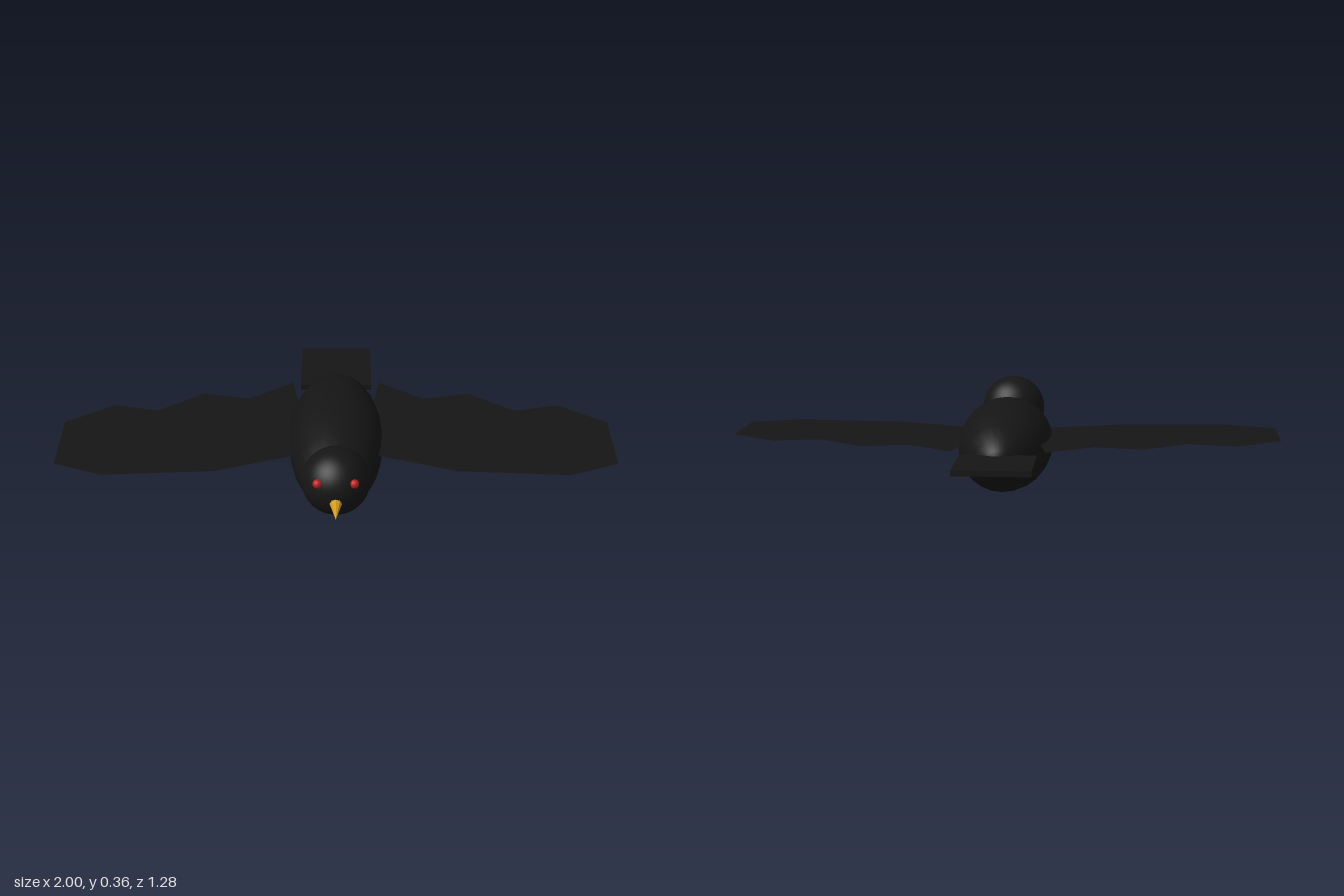
import * as THREE from 'three';

export function createModel() {
  const bird = new THREE.Group();
  bird.name = 'bird';

  const black = new THREE.MeshStandardMaterial({ color: 0x151515 });
  const wingBlack = new THREE.MeshStandardMaterial({ color: 0x151515, side: THREE.DoubleSide });
  const gold = new THREE.MeshStandardMaterial({ color: 0xd09a20, flatShading: true });
  const red = new THREE.MeshStandardMaterial({ color: 0xb81f1f });

  function add(name, geometry, material, x, y, z) {
    const mesh = new THREE.Mesh(geometry, material);
    mesh.name = name;
    mesh.position.set(x, y, z);
    bird.add(mesh);
    return mesh;
  }

  // Body: a sphere stretched along z, poles at beak and tail ends
  const bodyShape = new THREE.SphereGeometry(1, 24, 12);
  bodyShape.rotateX(Math.PI / 2).scale(0.172, 0.164, 0.41);
  add('body', bodyShape, black, 0, 0.167, 0.03);

  // Head and beak
  add('head', new THREE.SphereGeometry(0.119, 32, 24), black, 0, 0.245, 0.43);
  const beakShape = new THREE.ConeGeometry(0.031, 0.14, 8);
  beakShape.rotateX(Math.PI / 2);
  add('beak', beakShape, gold, 0, 0.222, 0.57);

  // Flat tail
  add('tail', new THREE.BoxGeometry(0.27, 0.02, 0.3), black, 0, 0.18, -0.49);

  // Wing outline in x, z: notched feathers behind, smooth leading edge
  const outline = [
    [0.08, 0.17], [0.43, 0.3], [0.825, 0.325], [1, 0.25], [1, -0.04],
    [0.83, -0.165], [0.665, -0.125], [0.5, -0.255], [0.33, -0.215], [0.165, -0.34],
  ];

  // Mirrored wings and eyes
  for (const [side, s] of [['left', 1], ['right', -1]]) {
    const shape = new THREE.Shape(outline.map(([x, z]) => new THREE.Vector2(s * x, -z)));
    const wingShape = new THREE.ShapeGeometry(shape);
    wingShape.rotateX(-Math.PI / 2);
    add(side + 'Wing', wingShape, wingBlack, 0, 0.2, 0);
    add(side + 'Eye', new THREE.SphereGeometry(0.016, 16, 12), red, s * 0.063, 0.287, 0.52);
  }

  return bird;
}
